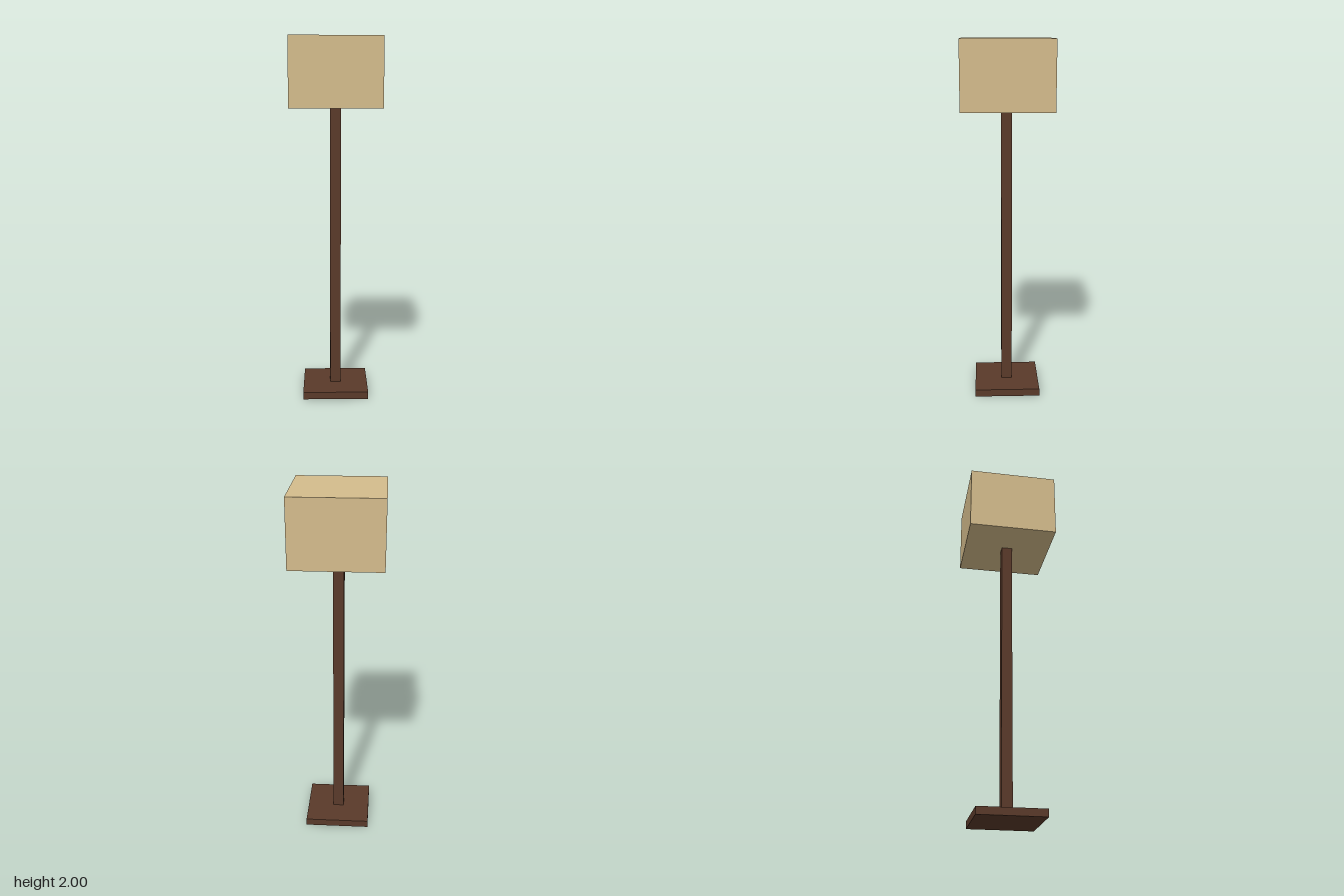
import * as THREE from 'three';

const wood = new THREE.MeshStandardMaterial({ color: 0x5a3a2a });
const fabric = new THREE.MeshStandardMaterial({ color: 0xd4bc8c });

// Square block, centred on the y axis, spanning bottom to top
function block(name, width, bottom, top, material) {
  const mesh = new THREE.Mesh(new THREE.BoxGeometry(width, top - bottom, width), material);
  mesh.name = name;
  mesh.position.y = (bottom + top) / 2;
  return mesh;
}

export function createModel() {
  const lamp = new THREE.Group();
  lamp.name = 'floorLamp';
  lamp.add(
    block('base', 0.366, 0, 0.041, wood),
    block('pole', 0.06, 0.041, 1.628, wood),
    block('shade', 0.497, 1.628, 2, fabric)
  );
  return lamp;
}
